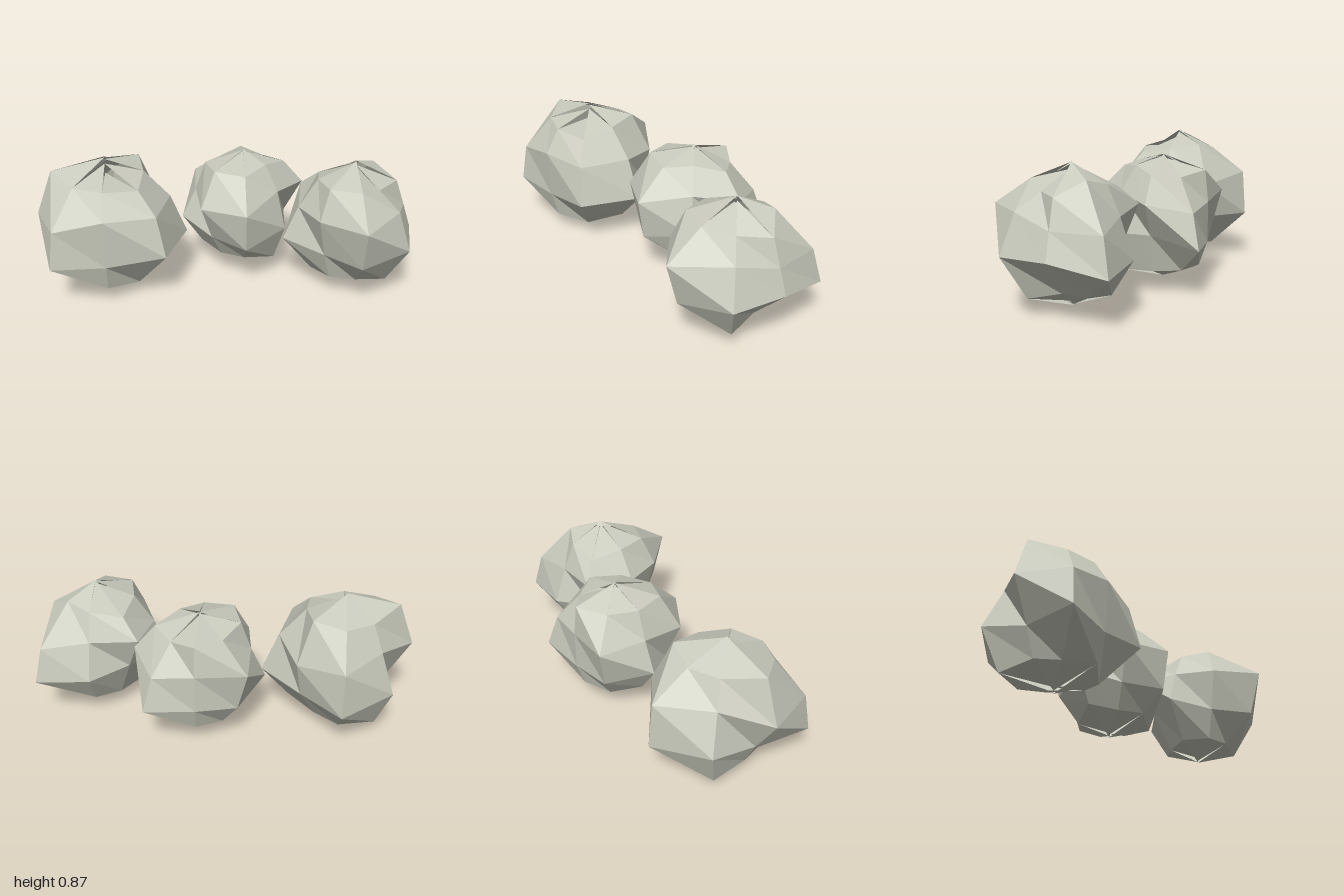
import * as THREE from 'three';

const SIDES = 8;
const WIDEN = 1.1; // boulders are slightly wider than deep

// Each boulder: centre, uneven pole heights per sector, and four rings from top
// to bottom. Rings run from +x towards +z: reach from the axis, then height.
const backBoulder = {
  name: 'backBoulder', x: -0.49, z: -0.59,
  top: [0.85, 0.82, 0.76, 0.82, 0.86, 0.867, 0.867, 0.86],
  bottom: [0.02, 0.04, 0, 0.02, 0.02, 0.04, 0.01, 0.02],
  rings: [
    { reach: [0.26, 0.22, 0.28, 0.24, 0.24, 0.31, 0.22, 0.235], height: [0.79, 0.76, 0.72, 0.74, 0.75, 0.79, 0.75, 0.755] },
    { reach: [0.368, 0.37, 0.42, 0.33, 0.41, 0.405, 0.3, 0.445], height: [0.535, 0.58, 0.585, 0.59, 0.525, 0.52, 0.59, 0.595] },
    { reach: [0.327, 0.465, 0.49, 0.315, 0.445, 0.27, 0.41, 0.465], height: [0.31, 0.33, 0.34, 0.28, 0.29, 0.28, 0.35, 0.31] },
    { reach: [0.2, 0.3, 0.25, 0.27, 0.2, 0.2, 0.3, 0.24], height: [0.1, 0.14, 0.085, 0.11, 0.1, 0.12, 0.087, 0.085] },
  ],
};
const middleBoulder = {
  name: 'middleBoulder', x: 0.235, z: -0.1,
  top: [0.81, 0.8, 0.815, 0.8, 0.81, 0.8, 0.81, 0.79],
  bottom: [0.06, 0.08, 0.06, 0.08, 0.06, 0.09, 0.07, 0.07],
  rings: [
    { reach: [0.2, 0.25, 0.18, 0.24, 0.25, 0.23, 0.2, 0.25], height: [0.7, 0.72, 0.755, 0.73, 0.75, 0.74, 0.71, 0.73] },
    { reach: [0.34, 0.37, 0.28, 0.417, 0.368, 0.29, 0.41, 0.27], height: [0.515, 0.57, 0.6, 0.55, 0.54, 0.56, 0.565, 0.54] },
    { reach: [0.405, 0.26, 0.345, 0.38, 0.28, 0.373, 0.33, 0.27], height: [0.31, 0.37, 0.365, 0.3, 0.31, 0.37, 0.3, 0.3] },
    { reach: [0.22, 0.2, 0.26, 0.24, 0.2, 0.257, 0.2, 0.22], height: [0.15, 0.14, 0.13, 0.17, 0.16, 0.19, 0.13, 0.15] },
  ],
};
const frontBoulder = {
  name: 'frontBoulder', x: 0.485, z: 0.58,
  top: [0.838, 0.81, 0.8, 0.838, 0.83, 0.82, 0.83, 0.838],
  bottom: [0.04, 0.06, 0.035, 0.05, 0.04, 0.07, 0.04, 0.06],
  rings: [
    { reach: [0.19, 0.255, 0.175, 0.24, 0.25, 0.22, 0.265, 0.2], height: [0.768, 0.69, 0.69, 0.735, 0.74, 0.73, 0.69, 0.73] },
    { reach: [0.395, 0.31, 0.325, 0.463, 0.33, 0.33, 0.4, 0.27], height: [0.52, 0.525, 0.59, 0.58, 0.56, 0.55, 0.578, 0.56] },
    { reach: [0.45, 0.36, 0.415, 0.39, 0.27, 0.417, 0.3, 0.345], height: [0.305, 0.37, 0.355, 0.31, 0.31, 0.34, 0.36, 0.33] },
    { reach: [0.205, 0.16, 0.265, 0.205, 0.21, 0.24, 0.19, 0.22], height: [0.14, 0.15, 0.107, 0.13, 0.13, 0.115, 0.107, 0.12] },
  ],
};

// Faceted shell: ring bands plus separate, uneven cap facets at both poles
function boulderGeometry({ rings, top, bottom }) {
  const positions = [];
  const face = (...corners) => corners.forEach((c) => positions.push(...c));
  const at = (ring, k) => {
    const i = k % SIDES;
    const a = (i / SIDES) * Math.PI * 2;
    const r = rings[ring].reach[i];
    return [Math.cos(a) * r * WIDEN, rings[ring].height[i], Math.sin(a) * r];
  };
  const last = rings.length - 1;
  for (let k = 0; k < SIDES; k++) {
    face([0, top[k], 0], at(0, k + 1), at(0, k));
    for (let r = 0; r < last; r++) {
      face(at(r, k), at(r, k + 1), at(r + 1, k));
      face(at(r, k + 1), at(r + 1, k + 1), at(r + 1, k));
    }
    face(at(last, k), at(last, k + 1), [0, bottom[k], 0]);
  }
  const geometry = new THREE.BufferGeometry();
  geometry.setAttribute('position', new THREE.Float32BufferAttribute(positions, 3));
  geometry.computeVertexNormals();
  return geometry;
}

export function createModel() {
  const group = new THREE.Group();
  group.name = 'boulders';
  const stone = new THREE.MeshStandardMaterial({ color: 0xc8cabc, flatShading: true, side: THREE.DoubleSide });
  stone.name = 'paleStone';

  for (const boulder of [backBoulder, middleBoulder, frontBoulder]) {
    const mesh = new THREE.Mesh(boulderGeometry(boulder), stone);
    mesh.name = boulder.name;
    mesh.position.set(boulder.x, 0, boulder.z);
    group.add(mesh);
  }
  return group;
}
